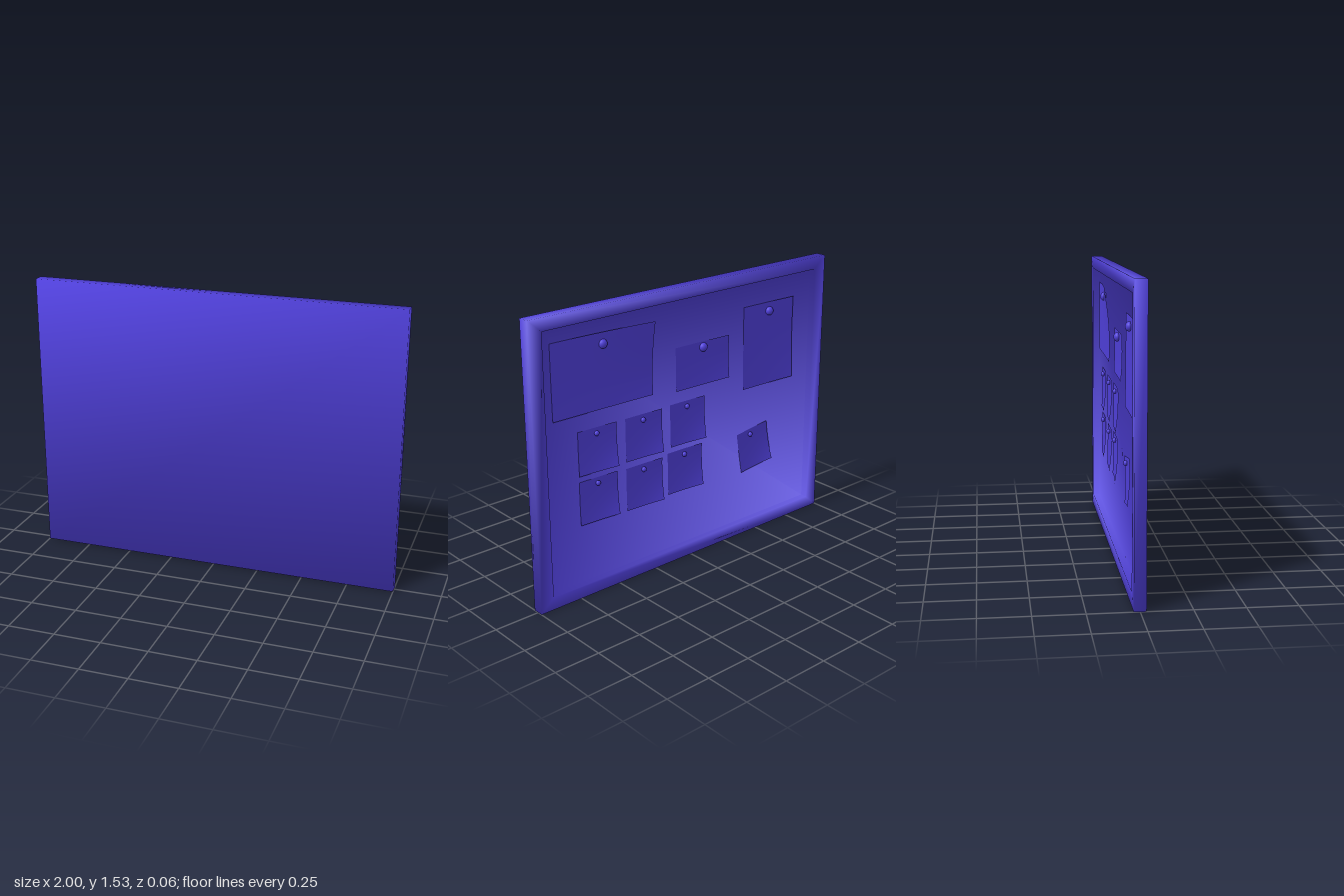
import * as THREE from 'three';

const HALF_H = 0.765, PANEL_Z = 0.008, PAPER_Z = 0.004;
const material = new THREE.MeshStandardMaterial({ color: 0x5040dc });
const sheetMaterial = new THREE.MeshStandardMaterial({ color: 0x5040dc, side: THREE.DoubleSide });
const CORNERS = [[1, 1], [-1, 1], [-1, -1], [1, -1]];

// Joins rectangular rings [inset, z, normal direction] from front to back, with softly shared normals
function ringGeometry(rings, capFront, capBack) {
  const pos = [], nor = [], idx = [];
  for (const [inset, z, out, nz] of rings) {
    for (const [sx, sy] of CORNERS) {
      pos.push(sx * (1 - inset), HALF_H + sy * (HALF_H - inset * 0.87), z);
      nor.push(...new THREE.Vector3(sx * out, sy * out, nz).normalize().toArray());
    }
  }
  for (let k = 0; k + 1 < rings.length; k++) {
    for (let i = 0; i < 4; i++) {
      const a = k * 4 + i, b = k * 4 + (i + 1) % 4, c = a + 4, d = b + 4;
      idx.push(a, c, d, a, d, b);
    }
  }
  if (capFront) idx.push(0, 1, 2, 0, 2, 3);
  if (capBack) {
    const o = (rings.length - 1) * 4;
    idx.push(o, o + 2, o + 1, o, o + 3, o + 2);
  }
  const g = new THREE.BufferGeometry();
  g.setAttribute('position', new THREE.Float32BufferAttribute(pos, 3));
  g.setAttribute('normal', new THREE.Float32BufferAttribute(nor, 3));
  g.setIndex(idx);
  return g;
}

function add(parent, name, geometry, mat = material) {
  const mesh = new THREE.Mesh(geometry, mat);
  mesh.name = name;
  parent.add(mesh);
  return mesh;
}

// Sheet of paper facing -z; its -x edge and bottom edge curl away from the board
function sheet(w, h, topCurl, bottomCurl, hem) {
  const g = new THREE.PlaneGeometry(w, h, 12, 12).rotateY(Math.PI);
  const p = g.attributes.position;
  for (let i = 0; i < p.count; i++) {
    const s = 0.5 - p.getX(i) / w, t = 0.5 - p.getY(i) / h;
    const edge = s * s * (topCurl * (1 - t) ** 2 + bottomCurl * t * t);
    p.setZ(i, -edge - hem * t ** 3);
  }
  g.computeVertexNormals();
  return g;
}

// Round-headed pin with a short needle
function pin(parent, x, y, r) {
  const group = new THREE.Group();
  group.name = 'pin';
  group.position.set(x, y, 0);
  const head = add(group, 'pinHead', new THREE.SphereGeometry(r, 16, 12));
  head.scale.z = 0.8;
  head.position.z = -0.008;
  const needle = add(group, 'pinNeedle', new THREE.CylinderGeometry(r * 0.3, r * 0.3, 0.018, 8));
  needle.rotation.x = Math.PI / 2;
  parent.add(group);
}

// Paper and pin, placed by centre
function note(parent, name, o) {
  const group = new THREE.Group();
  group.name = name;
  group.position.set(o.x, o.y, PAPER_Z);
  group.rotation.z = o.turn || 0;
  add(group, 'paper', sheet(o.w, o.h, o.top, o.bottom, o.hem), sheetMaterial);
  pin(group, o.pinX || 0, o.h / 2 - o.drop, o.r);
  parent.add(group);
}

export function createModel() {
  const model = new THREE.Group();
  model.name = 'noticeBoard';

  // Backing and raised frame
  add(model, 'frame', ringGeometry([
    [0, 0.03, 1, 1], [0, -0.03, 1, -1], [0.078, -0.03, -1, -1], [0.078, PANEL_Z, -1, -1],
  ], true, false));

  // Recessed pin surface
  add(model, 'panel', ringGeometry([[0.078, PANEL_Z, -1, -1]], false, true));

  // Large papers
  note(model, 'largePaper', { x: 0.55, y: 1.185, w: 0.62, h: 0.396, top: 0.037, bottom: 0.009, hem: 0.003, drop: 0.06, r: 0.024 });
  note(model, 'widePaper', { x: -0.11, y: 1.08, w: 0.372, h: 0.238, top: 0.006, bottom: 0.008, hem: 0.004, drop: 0.03, r: 0.024 });
  note(model, 'tallPaper', { x: -0.596, y: 1.092, w: 0.374, h: 0.468, top: 0.007, bottom: 0.009, hem: 0.004, drop: 0.05, r: 0.024 });

  // Two rows of small square notes
  const small = { w: 0.24, h: 0.238, top: 0.004, bottom: 0.016, hem: 0.004, drop: 0.03, r: 0.014 };
  const spots = [
    [0.595, 0.779], [0.296, 0.775], [-0.004, 0.776],
    [0.595, 0.509], [0.296, 0.499], [0.015, 0.507],
  ];
  for (const [x, y] of spots) note(model, 'smallNote', { ...small, x, y, pinX: 0.008 });

  // Tilted note
  note(model, 'tiltedNote', { ...small, x: -0.502, y: 0.497, w: 0.228, pinX: 0.02, turn: -0.15 });

  return model;
}
